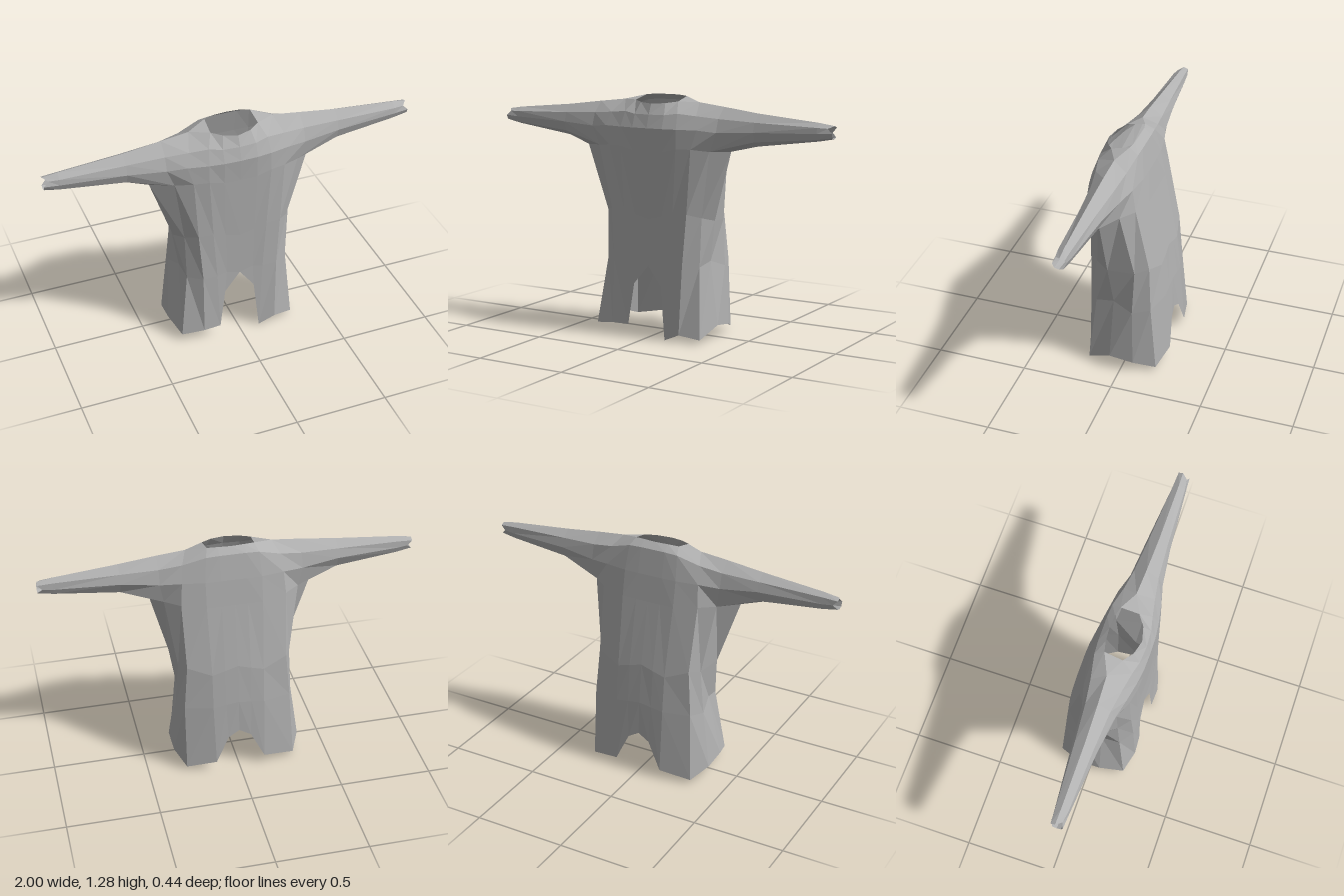
import * as THREE from 'three';

// Half cross-sections [x, y, z], from the front centre round the side to the back centre
const hem = [[0, .39, .2], [.08, .285, .205], [.11, 0, .215], [.2, .04, .222], [.31, .02, .19], [.345, .08, .06],
  [.34, .06, -.07], [.29, .02, -.185], [.13, .05, -.218], [.06, .2, -.205], [0, .235, -.2]];
const thigh = [[0, .43, .2], [.075, .41, .2], [.13, .4, .205], [.21, .4, .205], [.285, .4, .15], [.295, .42, .05],
  [.32, .38, -.06], [.29, .4, -.155], [.14, .4, -.19], [.07, .41, -.19], [0, .42, -.19]];
const waist = [[0, .64, .2], [.08, .66, .2], [.15, .68, .202], [.23, .68, .195], [.29, .66, .14], [.33, .64, .07],
  [.305, .63, -.07], [.27, .65, -.14], [.14, .6, -.168], [.07, .62, -.168], [0, .64, -.165]];
const armpit = [[0, 1, .208], [.09, 1, .208], [.17, 1.02, .205], [.25, 1.02, .19], [.34, 1.01, .15], [.43, 1.01, .08],
  [.36, 1, -.01], [.28, 1, -.07], [.15, .98, -.095], [.07, .98, -.095], [0, .98, -.095]];
const chest = [[0, 1.12, .214], [.09, 1.12, .212], [.17, 1.12, .202], [.28, 1.12, .18], [.38, 1.11, .155], null,
  [.38, 1.11, -.02], [.27, 1.12, -.05], [.15, 1.12, -.068], [.07, 1.12, -.07], [0, 1.12, -.07]];
const collar = [[0, 1.19, .192], [.09, 1.19, .186], [.16, 1.2, .17], [.26, 1.19, .15], [.38, 1.18, .13], null,
  [.38, 1.19, 0], [.26, 1.21, -.015], [.14, 1.25, -.036], [.07, 1.255, -.04], [0, 1.255, -.04]];
const ridge = [.23, 1.255, .06];
const tip = [.38, 1.238, .065];
const crown = [[0, 1.245, .167], [.075, 1.25, .148], [.13, 1.258, .11], ridge, tip, null,
  tip, ridge, [.125, 1.28, .012], [.07, 1.285, 0], [0, 1.285, -.005]];

// Sleeve sections: x, then [y, z] round the loop from the underside, up the front, down the back
const sleeveSections = [
  [.58, [1.045, .075], [1.07, .115], [1.12, .13], [1.17, .115], [1.213, .068], [1.18, .015], [1.13, 0], [1.07, .025]],
  [.92, [1.09, .07], [1.1, .095], [1.13, .105], [1.16, .1], [1.182, .065], [1.165, .035], [1.13, .03], [1.1, .04]],
  [1, [1.105, .068], [1.112, .09], [1.135, .1], [1.158, .092], [1.17, .062], [1.16, .038], [1.135, .034], [1.112, .045]],
];

const mirror = (p, s) => [p[0] * s, p[1], p[2]];

// Adds one quad as two triangles; side -1 reverses the corners
function quad(out, a, b, c, d, s) {
  const order = s > 0 ? [a, b, c, a, c, d] : [a, c, b, a, d, c];
  for (const p of order) out.push(...mirror(p, s));
}

// Joins stacked sections, leaving out gaps
function loft(out, rows, s) {
  for (let r = 0; r < rows.length - 1; r++) {
    for (let j = 0; j < rows[r].length - 1; j++) {
      const q = [rows[r][j], rows[r][j + 1], rows[r + 1][j + 1], rows[r + 1][j]];
      if (q.every(Boolean)) quad(out, ...q, s);
    }
  }
}

function makeMesh(name, points, material) {
  const geometry = new THREE.BufferGeometry();
  geometry.setAttribute('position', new THREE.Float32BufferAttribute(points, 3));
  geometry.computeVertexNormals();
  const mesh = new THREE.Mesh(geometry, material);
  mesh.name = name;
  return mesh;
}

export function createModel() {
  const group = new THREE.Group();
  group.name = 'tunic';
  const cloth = new THREE.MeshStandardMaterial({ color: 0xb0b0b0, flatShading: true, side: THREE.DoubleSide });
  cloth.name = 'grey cloth';

  const torso = [], yoke = [];
  for (const s of [1, -1]) {
    // The right-hand side hangs a little wider and shorter
    const hemRow = s > 0 ? hem : hem.map(([x, y, z], j) =>
      [x * 1.07, y + (j === 2 ? .06 : j > 2 && j < 5 ? .02 : 0), z]);
    const pitRow = armpit.map((p, j) => (j === 5 && s < 0 ? [.455, 1, .08] : p));

    // Torso from ragged hem to armpit
    loft(torso, [hemRow, thigh, waist, pitRow], s);

    // Yoke over chest, back and shoulders, open at the neck
    loft(yoke, [pitRow, chest, collar, crown], s);
    for (const p of s > 0 ? [crown[2], ridge, crown[8]] : [crown[2], crown[8], ridge]) yoke.push(...mirror(p, s));

    // Tapered sleeve, open at the cuff
    const root = [pitRow[5], pitRow[4], chest[4], collar[4], tip, collar[6], chest[6], pitRow[6]];
    const loops = [root, ...sleeveSections.map(([x, ...ring]) => ring.map(([y, z], i) =>
      // Uneven cuff edge
      [x === 1 && (i === 3 || i === 6) ? .975 : x, y, z]))];
    const sleeve = [];
    loft(sleeve, loops.map((l) => [...l, l[0]]), -s);
    // The loops run the other way round, so only the winding is reversed
    for (let i = 0; i < sleeve.length; i += 3) sleeve[i] *= -1;
    group.add(makeMesh(s > 0 ? 'leftSleeve' : 'rightSleeve', sleeve, cloth));
  }
  group.add(makeMesh('torso', torso, cloth), makeMesh('yoke', yoke, cloth));
  return group;
}
